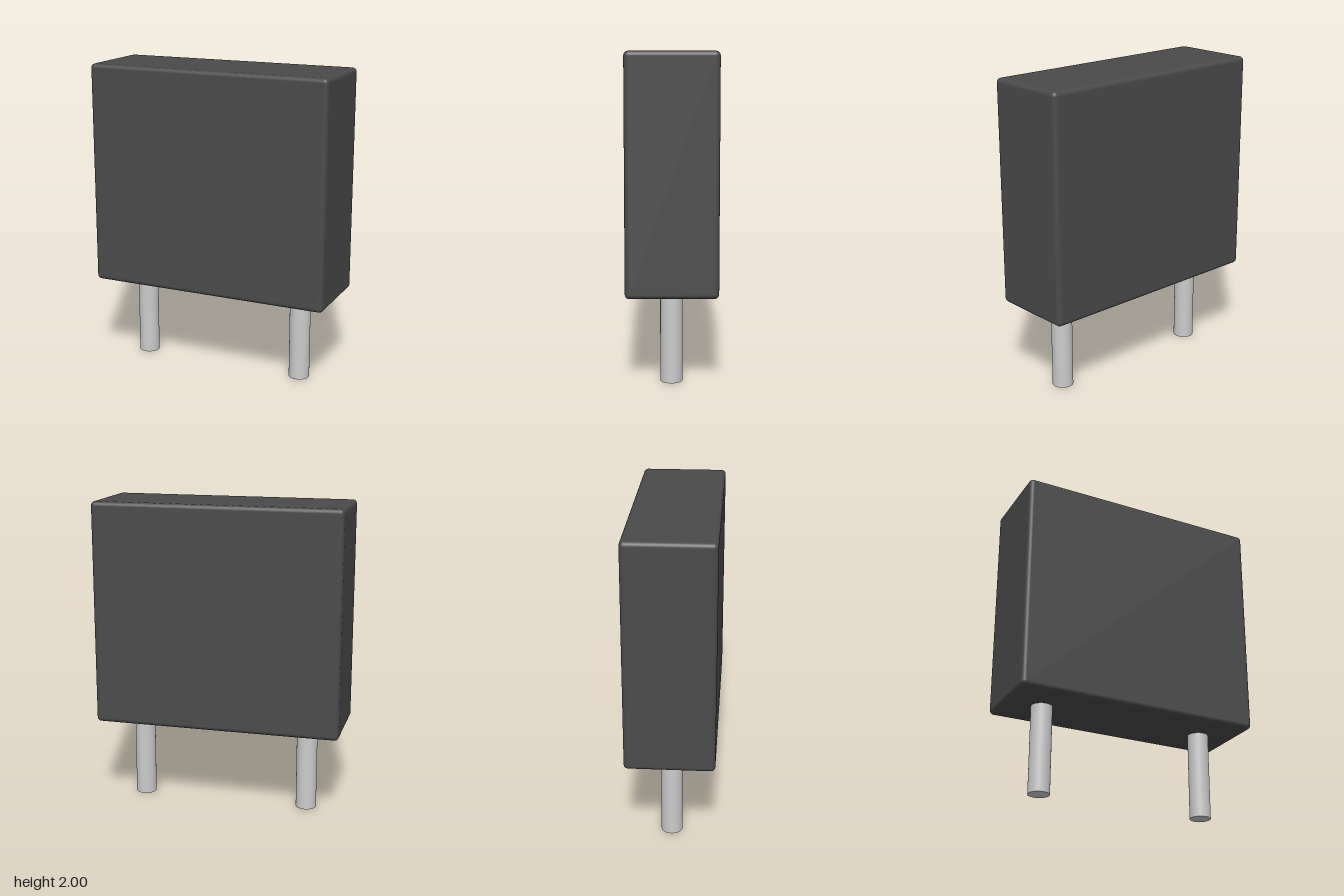
import * as THREE from 'three';
import { RoundedBoxGeometry } from 'three/addons/geometries/RoundedBoxGeometry.js';

const BOTTOM = 0.56, TOP = 2;

export function createModel() {
  const group = new THREE.Group();
  const dark = new THREE.MeshStandardMaterial({ color: 0x4a4a4a });
  const grey = new THREE.MeshStandardMaterial({ color: 0xcccccc });

  // Housing block with softly rounded edges
  const body = new THREE.Mesh(
    new RoundedBoxGeometry(1.596, TOP - BOTTOM, 0.554, 4, 0.028), dark);
  body.name = 'body';
  body.position.y = (TOP + BOTTOM) / 2;
  group.add(body);

  // Two round pins below the housing, run slightly into it
  const pinLength = BOTTOM + 0.01;
  const pinGeometry = new THREE.CylinderGeometry(0.067, 0.067, pinLength, 32);
  for (const side of [-1, 1]) {
    const pin = new THREE.Mesh(pinGeometry, grey);
    pin.name = side > 0 ? 'leftPin' : 'rightPin';
    pin.position.set(side * 0.555, pinLength / 2, 0);
    group.add(pin);
  }
  return group;
}
